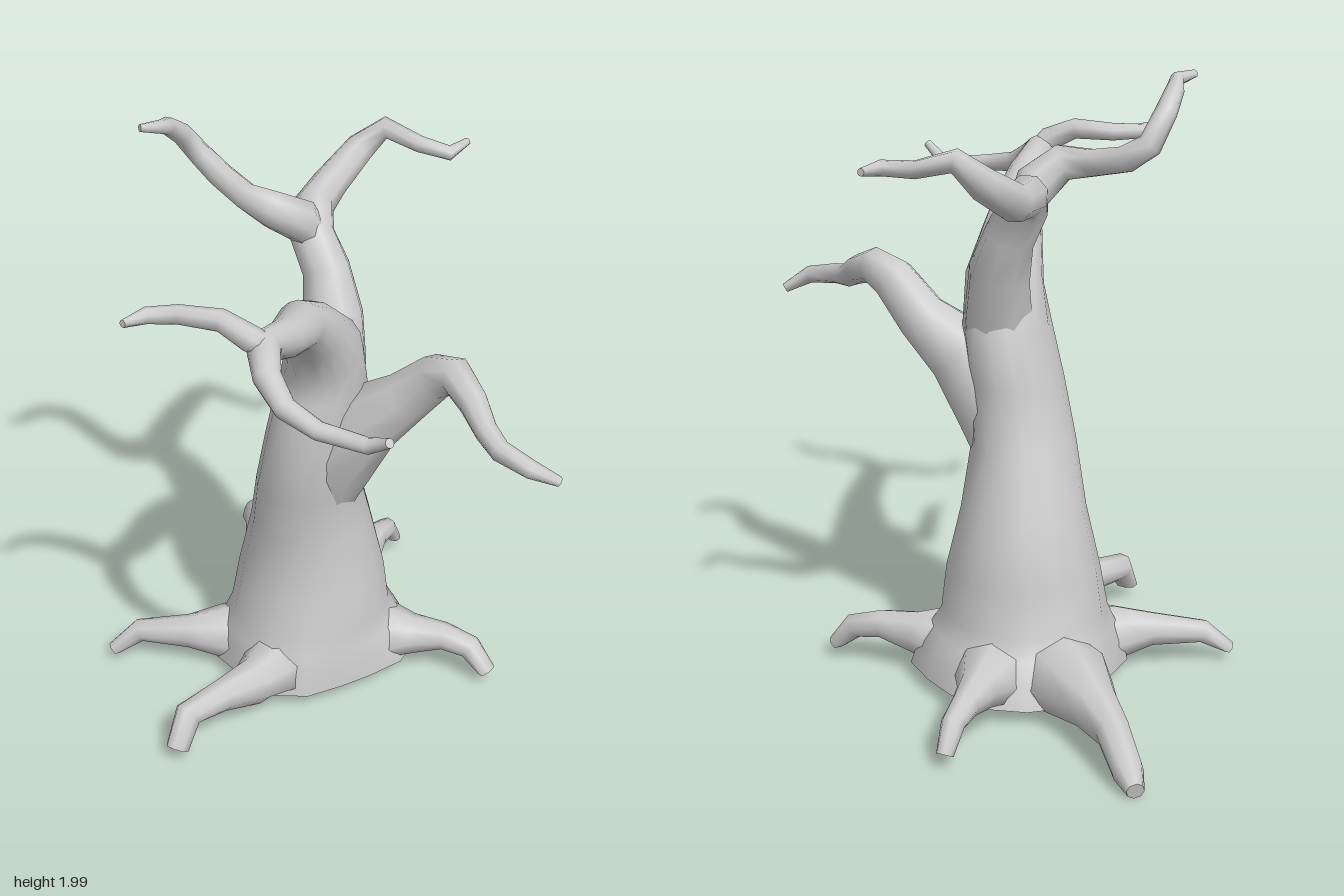
import * as THREE from 'three';

const material = new THREE.MeshStandardMaterial({ color: 0xcccccc });
const GROUND = 0.055; // underside of the trunk

// Skin a list of closed rings (arrays of Vector3) with flat end caps.
function loft(name, rings) {
  const n = rings[0].length, pos = [], index = [];
  const push = (p) => pos.push(p.x, p.y, p.z) / 3 - 1;
  rings.forEach((ring) => ring.forEach(push));
  for (let i = 0; i < rings.length - 1; i++) {
    for (let j = 0; j < n; j++) {
      const a = i * n + j, b = i * n + (j + 1) % n;
      index.push(a, b, b + n, a, b + n, a + n);
    }
  }
  const cap = (ring, flip) => {
    const centre = new THREE.Vector3();
    ring.forEach((p) => centre.addScaledVector(p, 1 / n));
    const c = push(centre), first = pos.length / 3;
    ring.forEach(push);
    for (let j = 0; j < n; j++) {
      const a = first + j, b = first + (j + 1) % n;
      index.push(c, flip ? b : a, flip ? a : b);
    }
  };
  cap(rings[0], true);
  cap(rings[rings.length - 1], false);
  const geometry = new THREE.BufferGeometry();
  geometry.setAttribute('position', new THREE.Float32BufferAttribute(pos, 3));
  geometry.setIndex(index);
  geometry.computeVertexNormals();
  const mesh = new THREE.Mesh(geometry, material);
  mesh.name = name;
  return mesh;
}

// Rings along stations [x, y, z, radius], kept above a floor that slopes to endFloor.
function ringsAlong(stations, sides = 8, endFloor = GROUND) {
  const pts = stations.map((s) => new THREE.Vector3(s[0], s[1], s[2]));
  const u = new THREE.Vector3(0, 0, 1), last = pts.length - 1;
  return pts.map((p, i) => {
    const before = pts[Math.max(i - 1, 0)], after = pts[Math.min(i + 1, last)];
    const t = p.clone().sub(before).normalize().add(after.clone().sub(p).normalize()).normalize();
    u.addScaledVector(t, -u.dot(t)).normalize();
    const v = t.clone().cross(u), floor = THREE.MathUtils.lerp(GROUND + 0.006, endFloor, i / last);
    return Array.from({ length: sides }, (_, j) => {
      const a = (j / sides) * Math.PI * 2, r = stations[i][3];
      const q = p.clone().addScaledVector(u, r * Math.cos(a)).addScaledVector(v, r * Math.sin(a));
      q.y = Math.max(q.y, floor);
      return q;
    });
  });
}

// Trunk sections: y, centre x, centre z, half width, half depth
const TRUNK = [
  [GROUND, -0.17, -0.10, 0.285, 0.285],
  [0.13, -0.17, -0.095, 0.278, 0.28],
  [0.19, -0.172, -0.085, 0.268, 0.27],
  [0.25, -0.175, -0.08, 0.26, 0.263],
  [0.40, -0.17, -0.085, 0.248, 0.248],
  [0.60, -0.17, -0.085, 0.20, 0.21],
  [0.80, -0.145, -0.015, 0.165, 0.19],
  [1.00, -0.115, -0.005, 0.15, 0.175],
  [1.18, -0.085, -0.01, 0.138, 0.168],
];
const FLARE_ANGLES = [0, -0.95, -2.37, -2.75, Math.PI, 1.95];

// The trunk bends forward into this branch
const FRONT_BRANCH = [
  [-0.065, 1.32, 0.02, 0.125], [-0.05, 1.44, 0.13, 0.097], [-0.03, 1.53, 0.25, 0.075],
  [0.0, 1.57, 0.4, 0.06], [0.005, 1.62, 0.55, 0.05], [0.065, 1.585, 0.64, 0.042],
  [0.15, 1.54, 0.7, 0.034], [0.27, 1.52, 0.735, 0.028], [0.42, 1.51, 0.73, 0.024],
  [0.5, 1.565, 0.77, 0.014],
];

const BRANCHES = {
  sideBranch: [
    [-0.12, 0.66, -0.03, 0.09], [-0.05, 0.9, -0.015, 0.14], [0.065, 1.075, -0.025, 0.122],
    [0.195, 1.18, -0.04, 0.086], [0.3, 1.29, -0.02, 0.073], [0.375, 1.322, 0.0, 0.06],
    [0.46, 1.285, 0.065, 0.048], [0.53, 1.24, 0.13, 0.038], [0.6, 1.225, 0.19, 0.034],
    [0.71, 1.205, 0.215, 0.029], [0.785, 1.16, 0.175, 0.016]],
  frontFork: [
    [0.03, 1.6, 0.52, 0.03], [-0.02, 1.655, 0.575, 0.04], [-0.11, 1.695, 0.58, 0.034],
    [-0.24, 1.69, 0.595, 0.029], [-0.32, 1.69, 0.64, 0.025], [-0.345, 1.7, 0.725, 0.012]],
  backBranch: [
    [-0.07, 1.02, -0.02, 0.1], [-0.075, 1.22, -0.065, 0.113], [-0.095, 1.37, -0.11, 0.1],
    [-0.145, 1.5, -0.16, 0.08], [-0.2, 1.61, -0.17, 0.075], [-0.235, 1.655, -0.26, 0.065],
    [-0.25, 1.665, -0.4, 0.058], [-0.205, 1.745, -0.54, 0.05], [-0.13, 1.815, -0.575, 0.036],
    [-0.01, 1.78, -0.575, 0.027], [0.1, 1.775, -0.565, 0.024], [0.12, 1.78, -0.66, 0.012]],
  rightwardFork: [
    [-0.19, 1.58, -0.19, 0.045], [-0.22, 1.665, -0.13, 0.07], [-0.28, 1.72, -0.06, 0.06],
    [-0.38, 1.73, -0.085, 0.044], [-0.5, 1.76, -0.135, 0.042], [-0.575, 1.81, -0.145, 0.038],
    [-0.605, 1.9, -0.085, 0.034], [-0.61, 1.955, -0.01, 0.028], [-0.6, 1.975, 0.045, 0.022],
    [-0.64, 1.985, 0.1, 0.012]],
};

// Roots: the height each one ends at, then its stations
const ROOTS = {
  frontRoot: [0.05, [-0.17, 0.12, 0.0, 0.11], [-0.18, 0.115, 0.17, 0.12],
    [-0.2, 0.135, 0.3, 0.08], [-0.25, 0.155, 0.43, 0.055], [-0.31, 0.145, 0.55, 0.048],
    [-0.315, 0.05, 0.62, 0.04]],
  rightRoot: [0.04, [-0.3, 0.12, 0.0, 0.11], [-0.43, 0.115, 0.085, 0.1],
    [-0.54, 0.125, 0.145, 0.058], [-0.7, 0.115, 0.205, 0.04], [-0.775, 0.04, 0.255, 0.03]],
  backRightRoot: [0, [-0.28, 0.12, -0.2, 0.13], [-0.42, 0.11, -0.32, 0.14],
    [-0.53, 0.12, -0.44, 0.08], [-0.63, 0.115, -0.57, 0.056], [-0.705, 0.055, -0.67, 0.05],
    [-0.75, 0.035, -0.74, 0.028]],
  backRoot: [0.05, [-0.17, 0.12, -0.24, 0.12], [-0.165, 0.115, -0.38, 0.12],
    [-0.17, 0.14, -0.5, 0.068], [-0.175, 0.15, -0.62, 0.046], [-0.17, 0.13, -0.71, 0.038],
    [-0.165, 0.05, -0.765, 0.028]],
  leftRoot: [0.05, [-0.05, 0.12, -0.13, 0.11], [0.07, 0.115, -0.155, 0.12],
    [0.18, 0.135, -0.17, 0.07], [0.29, 0.15, -0.185, 0.048], [0.385, 0.13, -0.19, 0.042],
    [0.45, 0.05, -0.185, 0.034]],
};

export function createModel() {
  const tree = new THREE.Group();
  tree.name = 'bareTree';

  // Trunk, flaring out towards the roots at its foot
  const sides = 16;
  const trunkRings = TRUNK.map(([y, cx, cz, rx, rz]) =>
    Array.from({ length: sides }, (_, j) => {
      const a = (j / sides) * Math.PI * 2;
      const lobe = Math.max(...FLARE_ANGLES.map((f) => Math.max(0, Math.cos(a - f)) ** 6));
      const flare = 0.08 * lobe * Math.max(0, 1 - (y / 0.27) ** 2);
      return new THREE.Vector3(
        cx + (rx + flare) * Math.sin(a), y, cz + (rz + flare) * Math.cos(a));
    }));
  tree.add(loft('trunkAndFrontBranch', [...trunkRings, ...ringsAlong(FRONT_BRANCH, sides)]));

  // Crooked branches and gripping roots
  for (const [name, stations] of Object.entries(BRANCHES)) {
    tree.add(loft(name, ringsAlong(stations)));
  }
  for (const [name, [endFloor, ...stations]] of Object.entries(ROOTS)) {
    tree.add(loft(name, ringsAlong(stations, 8, endFloor)));
  }
  return tree;
}
